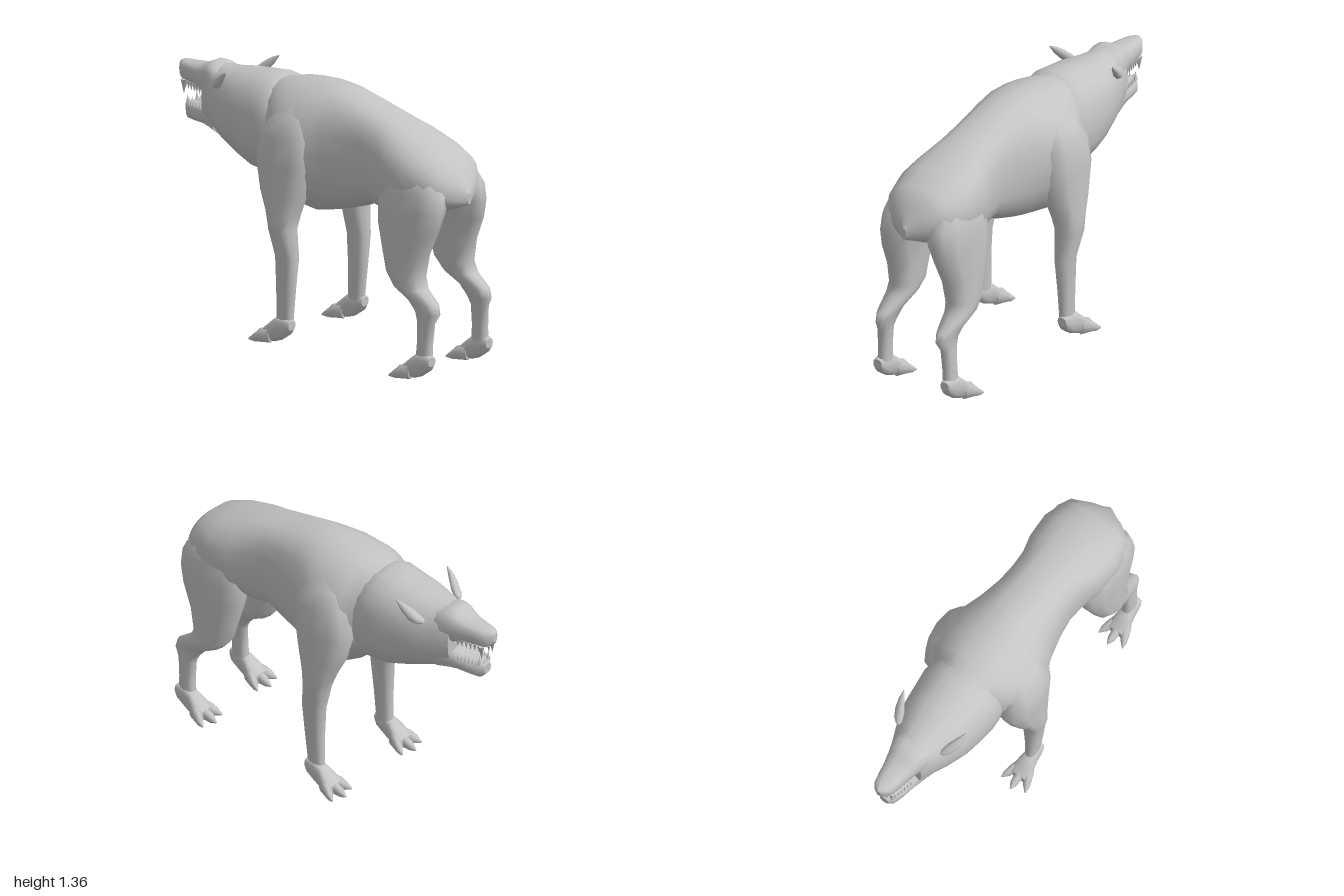
import * as THREE from 'three';

const fur = new THREE.MeshStandardMaterial({ color: 0xc4c4c4 });
fur.name = 'grey fur';

// Skin a row of closed rings; the two end caps keep their own sharp edge
function loft(rings) {
  const n = rings[0].length, pos = [], idx = [];
  rings.forEach(r => r.forEach(p => pos.push(...p)));
  for (let i = 0; i < rings.length - 1; i++) {
    for (let j = 0; j < n; j++) {
      const k = (j + 1) % n;
      const a = i * n + j, b = i * n + k, c = (i + 1) * n + k, d = (i + 1) * n + j;
      idx.push(a, d, b, b, d, c);
    }
  }
  [rings[0], rings[rings.length - 1]].forEach((ring, end) => {
    const base = pos.length / 3;
    ring.forEach(p => pos.push(...p));
    pos.push(...[0, 1, 2].map(q => ring.reduce((s, p) => s + p[q], 0) / n));
    for (let j = 0; j < n; j++) {
      const k = (j + 1) % n;
      if (end) idx.push(base + n, base + k, base + j);
      else idx.push(base + n, base + j, base + k);
    }
  });
  const g = new THREE.BufferGeometry();
  g.setAttribute('position', new THREE.Float32BufferAttribute(pos, 3));
  g.setIndex(idx);
  g.computeVertexNormals();
  return g;
}

const bow = (v, e) => Math.sign(v) * Math.pow(Math.abs(v), e);
const circle = (n, f) => Array.from({ length: n }, (_, j) => {
  const a = j / n * Math.PI * 2;
  return f(Math.cos(a), Math.sin(a));
});

// Sections run from tail towards nose: [z, top, bottom, halfWidth, centreX, squareness]
const along = (sections, n = 16, e = 0.9) => loft(sections.map(([z, t, b, w, cx = 0, q = e]) =>
  circle(n, (c, s) => [cx + w * bow(c, q), (t + b) / 2 + (t - b) / 2 * bow(s, q), z])));

// Sections run downwards: [y, zFront, zBack, xInner, xOuter]
const down = (sections, side, n = 12) => loft(sections.map(([y, z0, z1, x0, x1]) =>
  circle(n, (c, s) => [side * (x0 + x1) / 2 + (x1 - x0) / 2 * bow(c, 0.85), y,
    (z0 + z1) / 2 - (z1 - z0) / 2 * bow(s, 0.85)])));

export function createModel() {
  const model = new THREE.Group();
  const add = (geo, name, parent = model) => {
    const m = new THREE.Mesh(geo, fur);
    m.name = name;
    parent.add(m);
    return m;
  };

  // Trunk, from the blunt tail stub to the base of the neck
  add(along([
    [0.995, 0.975, 0.915, 0.012], [0.975, 1.0, 0.905, 0.045], [0.95, 1.045, 0.895, 0.1],
    [0.91, 1.1, 0.875, 0.16], [0.86, 1.15, 0.855, 0.2], [0.74, 1.2, 0.82, 0.235],
    [0.6, 1.245, 0.785, 0.225, 0, 0.85], [0.5, 1.272, 0.785, 0.195, 0, 0.78],
    [0.4, 1.295, 0.80, 0.187, 0, 0.75], [0.3, 1.32, 0.755, 0.197, 0, 0.78],
    [0.18, 1.348, 0.712, 0.228, 0, 0.88], [0.1, 1.354, 0.69, 0.262, 0, 0.95],
    [0.02, 1.356, 0.673, 0.295, 0, 1], [-0.1, 1.345, 0.685, 0.3, 0, 1],
    [-0.18, 1.332, 0.735, 0.268, 0, 0.95], [-0.235, 1.32, 0.79, 0.205], [-0.3, 1.305, 0.84, 0.18],
  ], 20), 'body');

  // Neck and skull, closed at the back of the mouth
  add(along([
    [-0.205, 1.27, 0.83, 0.205], [-0.25, 1.305, 0.785, 0.217], [-0.31, 1.325, 0.79, 0.222],
    [-0.4, 1.315, 0.8, 0.212], [-0.5, 1.303, 0.84, 0.2], [-0.56, 1.294, 0.866, 0.183],
    [-0.63, 1.282, 0.893, 0.16], [-0.7, 1.28, 0.923, 0.13], [-0.77, 1.27, 0.947, 0.1],
  ], 20), 'neckAndSkull');

  // Jaws; the upper one carries the brow
  add(along([
    [-0.67, 1.27, 1.05, 0.115], [-0.72, 1.287, 1.07, 0.11], [-0.76, 1.29, 1.09, 0.1],
    [-0.79, 1.272, 1.11, 0.09], [-0.84, 1.253, 1.125, 0.077], [-0.9, 1.248, 1.135, 0.066],
    [-0.96, 1.243, 1.142, 0.053], [-0.985, 1.24, 1.155, 0.034], [-1.0, 1.232, 1.18, 0.012],
  ], 14, 0.75), 'upperJaw');
  add(along([
    [-0.68, 1.08, 0.92, 0.115], [-0.75, 1.075, 0.938, 0.097], [-0.8, 1.048, 0.946, 0.082],
    [-0.87, 1.036, 0.943, 0.066], [-0.925, 1.034, 0.942, 0.048], [-0.95, 1.025, 0.97, 0.025],
  ], 14, 0.75), 'lowerJaw');

  // Teeth: [z, x, length, direction], mirrored
  const teeth = new THREE.Group();
  teeth.name = 'teeth';
  model.add(teeth);
  const tooth = (z, x, len, dir) => {
    const g = new THREE.ConeGeometry(len * 0.22, len, 6);
    if (dir < 0) g.rotateX(Math.PI);
    add(g, dir < 0 ? 'upperTooth' : 'lowerTooth', teeth)
      .position.set(x, (dir < 0 ? 1.15 : 1.022) + dir * len / 2, z);
  };
  for (const s of [1, -1]) {
    for (let i = 0; i < 6; i++) {
      tooth(-0.81 - i * 0.024, s * (0.068 - i * 0.005), 0.045, -1);
      tooth(-0.81 - i * 0.02, s * (0.066 - i * 0.005), 0.034, 1);
    }
    tooth(-0.945, s * 0.041, 0.078, -1);
    tooth(-0.925, s * 0.034, 0.052, 1);
    tooth(-0.972, s * 0.016, 0.036, -1);
    tooth(-0.937, s * 0.011, 0.028, 1);
  }

  for (const s of [1, -1]) {
    const name = s > 0 ? 'left' : 'right';

    // Ear: a swept-back pointed leaf
    add(along([
      [-0.51, 1.32, 1.312, 0.003, s * 0.195], [-0.545, 1.305, 1.258, 0.018, s * 0.183],
      [-0.585, 1.278, 1.212, 0.028, s * 0.166], [-0.625, 1.242, 1.198, 0.025, s * 0.148],
      [-0.645, 1.22, 1.205, 0.01, s * 0.138],
    ], 8), name + 'Ear');

    // Front leg with shoulder
    add(down([
      [1.27, -0.1, 0.03, 0.09, 0.185], [1.2, -0.17, 0.075, 0.09, 0.262],
      [1.1, -0.215, 0.11, 0.09, 0.322], [0.95, -0.237, 0.11, 0.12, 0.327],
      [0.8, -0.195, 0.072, 0.15, 0.332], [0.7, -0.145, 0.04, 0.175, 0.337],
      [0.62, -0.118, 0.025, 0.195, 0.341], [0.47, -0.087, 0.045, 0.215, 0.31],
      [0.3, -0.082, 0.028, 0.225, 0.302], [0.12, -0.085, 0.012, 0.232, 0.29],
    ], s), name + 'FrontLeg');

    // Hind leg with thigh and hock
    add(down([
      [1.12, 0.62, 0.82, 0.04, 0.15], [1.05, 0.57, 0.89, 0.03, 0.21],
      [0.97, 0.54, 0.942, 0.03, 0.237], [0.88, 0.53, 0.945, 0.053, 0.245],
      [0.78, 0.535, 0.92, 0.08, 0.246], [0.65, 0.575, 0.86, 0.093, 0.25],
      [0.53, 0.61, 0.835, 0.1, 0.252], [0.47, 0.66, 0.86, 0.115, 0.25],
      [0.41, 0.76, 0.945, 0.138, 0.235], [0.36, 0.805, 0.96, 0.15, 0.225],
      [0.31, 0.828, 0.932, 0.165, 0.228], [0.2, 0.832, 0.922, 0.17, 0.233],
      [0.12, 0.825, 0.922, 0.172, 0.235],
    ], s), name + 'HindLeg');

    // Paws with three splayed, clawed toes
    for (const [leg, x, z] of [['Front', 0.268, 0], ['Hind', 0.21, 0.915]]) {
      const paw = new THREE.Group();
      paw.name = name + leg + 'Paw';
      paw.position.set(s * x, 0, z);
      model.add(paw);
      add(along([
        [0.018, 0.14, 0.09, 0.026], [0, 0.148, 0.06, 0.034], [-0.05, 0.148, 0.025, 0.037],
        [-0.09, 0.136, 0.01, 0.046], [-0.13, 0.098, 0.005, 0.056], [-0.17, 0.062, 0.005, 0.054],
      ], 12, 0.8), 'foot', paw);
      for (const u of [-1, 0, 1]) {
        const tip = u ? -0.212 : -0.238;
        add(along([
          [-0.1, 0.09, 0.005, 0.02, u * 0.03], [-0.15, 0.074, 0.002, 0.025, u * 0.045],
          [tip + 0.03, 0.05, 0, 0.02, u * 0.058], [tip, 0.018, 0.008, 0.004, u * 0.073],
        ], 8), 'toe', paw);
      }
    }
  }
  return model;
}
